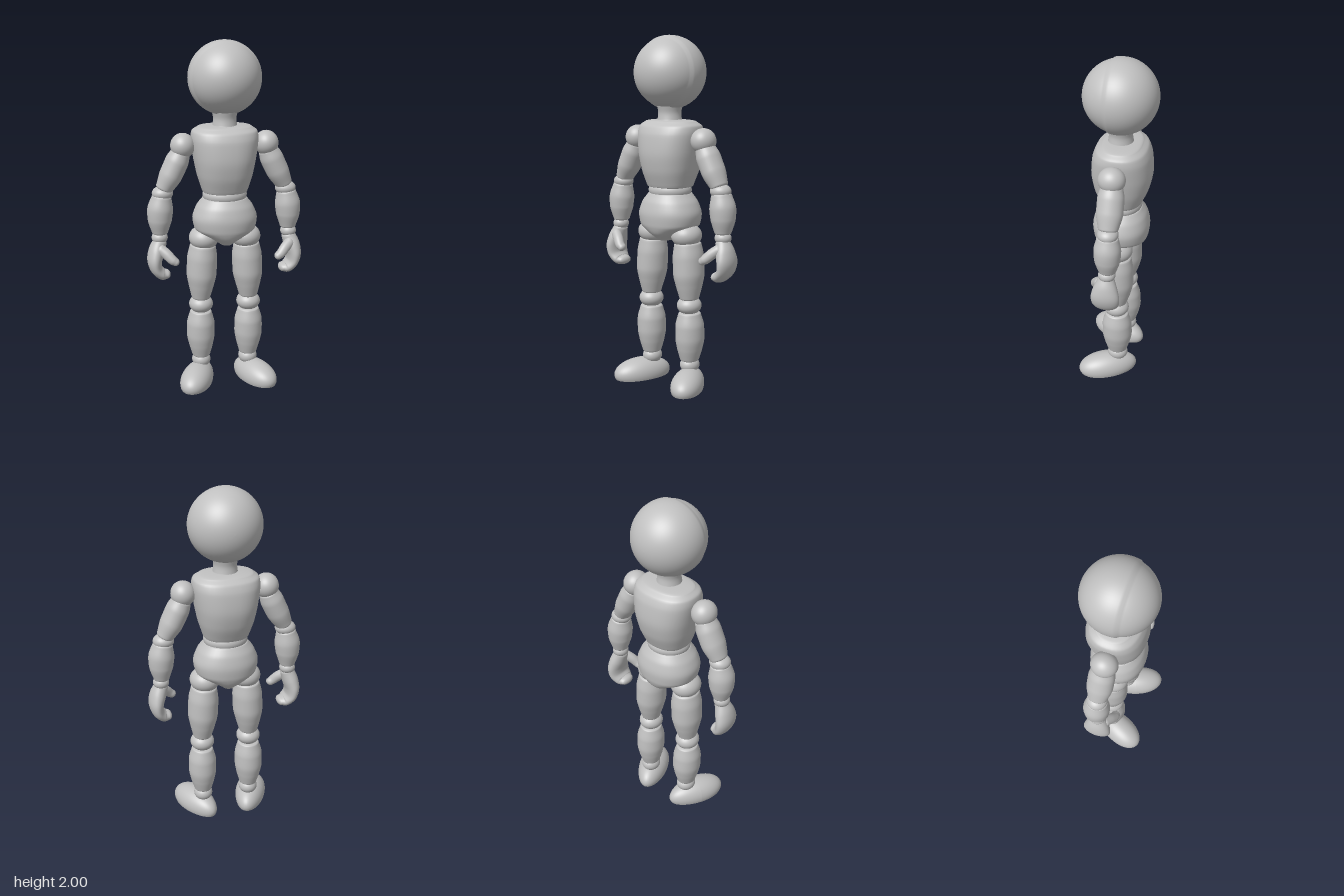
import * as THREE from 'three';
import { mergeGeometries } from 'three/addons/utils/BufferGeometryUtils.js';

const grey = new THREE.MeshStandardMaterial({ color: 0xc0c0c0 });
grey.name = 'light grey';

function add(group, name, geometry) {
  const mesh = new THREE.Mesh(geometry, grey);
  mesh.name = name;
  group.add(mesh);
  return mesh;
}

// Smooth body through rings [x, y, z, half width, half depth], rounded at both ends.
// side mirrors x, power squares off the section, cap is the depth of the rounded ends.
function loft(rings, { side = 1, power = 2, cap = 0.02 } = {}) {
  const mid = new THREE.CatmullRomCurve3(rings.map(r => new THREE.Vector3(side * r[0], r[1], r[2])));
  const size = new THREE.CatmullRomCurve3(rings.map(r => new THREE.Vector3(r[3], r[4], 0)));
  const steps = 28, around = 40, capSteps = 7;
  const sections = [];
  const section = (t, angle, sign) => {
    const tangent = mid.getTangent(t);
    const c = mid.getPoint(t).addScaledVector(tangent, sign * cap * Math.sin(angle));
    sections.push({ c, tangent, s: size.getPoint(t).multiplyScalar(Math.cos(angle)) });
  };
  for (let i = capSteps; i > 0; i--) section(0, (i / capSteps) * Math.PI / 2, -1);
  for (let i = 0; i <= steps; i++) section(i / steps, 0, 0);
  for (let i = 1; i <= capSteps; i++) section(1, (i / capSteps) * Math.PI / 2, 1);

  const bend = v => Math.sign(v) * Math.abs(v) ** (2 / power);
  const positions = [], index = [];
  sections.forEach(({ c, tangent, s }, i) => {
    const len = Math.hypot(tangent.x, tangent.y) || 1;
    for (let j = 0; j < around; j++) {
      const a = (j / around) * Math.PI * 2;
      const u = bend(Math.cos(a)) * s.x, v = bend(Math.sin(a)) * s.y;
      positions.push(c.x + u * tangent.y / len, c.y - u * tangent.x / len, c.z + v);
      if (i === sections.length - 1) continue;
      const p = i * around + j, q = i * around + (j + 1) % around;
      index.push(p, p + around, q, p + around, q + around, q);
    }
  });
  const g = new THREE.BufferGeometry();
  g.setAttribute('position', new THREE.Float32BufferAttribute(positions, 3));
  g.setIndex(index);
  g.computeVertexNormals();
  return g;
}

function ball(x, y, z, rx, ry = rx, rz = rx) {
  return new THREE.SphereGeometry(1, 40, 24).scale(rx, ry, rz).translate(x, y, z);
}

// Round head whose front is a slightly recessed face
function headGeometry() {
  const r = 0.205, profile = [];
  for (let i = 0; i <= 28; i++) {
    const a = -Math.PI / 2 + (i / 28) * (Math.PI / 2 + 0.22);
    profile.push(new THREE.Vector2(Math.max(0, r * Math.cos(a)), r * Math.sin(a)));
  }
  for (let i = 0; i <= 24; i++) {
    const a = 0.29 + (i / 24) * (Math.PI / 2 - 0.29);
    profile.push(new THREE.Vector2(Math.max(0, r * 0.972 * Math.cos(a)), r * Math.sin(a)));
  }
  return new THREE.LatheGeometry(profile, 64).rotateX(Math.PI / 2).translate(0, 1.795, 0);
}

// Domed shoe with a flat sole, wider at the toes
function footGeometry() {
  const end = Math.PI * 0.6, low = Math.cos(end);
  const dome = new THREE.SphereGeometry(1, 48, 24, 0, Math.PI * 2, 0, end);
  const sole = new THREE.CircleGeometry(Math.sin(end), 48).rotateX(Math.PI / 2).translate(0, low, 0);
  const g = mergeGeometries([dome, sole]);
  const p = g.attributes.position;
  for (let i = 0; i < p.count; i++) {
    const x = p.getX(i), y = p.getY(i), z = p.getZ(i);
    p.setXYZ(i, x * (0.09 + 0.01 * z), (y - low) / (1 - low) * 0.116, z * 0.178);
  }
  g.computeVertexNormals();
  return g;
}

export function createModel() {
  const model = new THREE.Group();
  model.name = 'jointedFigure';

  // Head and trunk
  add(model, 'head', headGeometry());
  add(model, 'neck', loft([
    [0, 1.5, 0, 0.085, 0.085], [0, 1.535, 0, 0.069, 0.069],
    [0, 1.57, 0, 0.065, 0.065], [0, 1.62, 0, 0.075, 0.075]]));
  add(model, 'chest', loft([
    [0, 1.16, -0.005, 0.128, 0.118], [0, 1.25, -0.008, 0.156, 0.153],
    [0, 1.35, -0.01, 0.176, 0.169], [0, 1.45, -0.01, 0.189, 0.16],
    [0, 1.5, -0.01, 0.184, 0.14], [0, 1.522, -0.01, 0.155, 0.11]], { power: 2.4, cap: 0.014 }));
  add(model, 'waist', ball(0, 1.135, -0.004, 0.127, 0.07, 0.118));
  add(model, 'pelvis', loft([
    [0, 0.86, -0.005, 0.045, 0.1], [0, 0.895, -0.005, 0.105, 0.137],
    [0, 0.94, -0.005, 0.174, 0.156], [0, 1.0, -0.005, 0.185, 0.161],
    [0, 1.07, -0.005, 0.162, 0.145], [0, 1.115, -0.005, 0.127, 0.118]], { power: 2.15, cap: 0.015 }));

  for (const side of [1, -1]) {
    const label = side > 0 ? 'left' : 'right';

    // Arm
    const arm = new THREE.Group();
    arm.name = label + 'Arm';
    model.add(arm);
    add(arm, 'shoulder', ball(side * 0.238, 1.424, 0, 0.069, 0.071, 0.075));
    add(arm, 'upperArm', loft([
      [0.25, 1.38, -0.003, 0.056, 0.062], [0.273, 1.33, -0.003, 0.066, 0.073],
      [0.306, 1.26, -0.003, 0.065, 0.073], [0.345, 1.185, -0.003, 0.049, 0.055]], { side }));
    add(arm, 'elbow', ball(side * 0.355, 1.157, -0.003, 0.06, 0.042, 0.058));
    add(arm, 'forearm', loft([
      [0.36, 1.135, -0.003, 0.056, 0.06], [0.37, 1.06, -0.003, 0.073, 0.075],
      [0.373, 1.0, -0.003, 0.068, 0.071], [0.373, 0.93, -0.003, 0.046, 0.05]], { side, cap: 0.015 }));
    add(arm, 'wrist', ball(side * 0.376, 0.9, 0, 0.046, 0.038, 0.048));

    // Curled mitten hand
    add(arm, 'hand', loft([
      [0.376, 0.875, 0.003, 0.04, 0.045], [0.396, 0.82, 0.005, 0.046, 0.068],
      [0.408, 0.765, 0.005, 0.042, 0.08], [0.398, 0.715, 0.005, 0.035, 0.076],
      [0.366, 0.683, 0.008, 0.032, 0.063], [0.343, 0.68, 0.008, 0.026, 0.048]], { side, cap: 0.024 }));
    add(arm, 'thumb', loft([
      [0.383, 0.845, 0.035, 0.03, 0.034], [0.345, 0.815, 0.06, 0.03, 0.032],
      [0.315, 0.785, 0.077, 0.027, 0.029], [0.298, 0.773, 0.08, 0.023, 0.026]], { side, cap: 0.021 }));

    // Leg
    const leg = new THREE.Group();
    leg.name = label + 'Leg';
    model.add(leg);
    add(leg, 'hip', ball(side * 0.122, 0.885, 0, 0.086, 0.07, 0.092));
    add(leg, 'thigh', loft([
      [0.128, 0.835, -0.004, 0.075, 0.082], [0.132, 0.76, -0.005, 0.087, 0.094],
      [0.136, 0.67, -0.005, 0.087, 0.095], [0.139, 0.59, -0.005, 0.072, 0.08],
      [0.141, 0.525, -0.004, 0.055, 0.06]], { side }));
    add(leg, 'knee', ball(side * 0.141, 0.48, -0.003, 0.07, 0.054, 0.073));
    add(leg, 'shin', loft([
      [0.142, 0.43, -0.005, 0.063, 0.068], [0.143, 0.36, -0.006, 0.081, 0.086],
      [0.143, 0.29, -0.008, 0.082, 0.088], [0.142, 0.22, -0.008, 0.07, 0.077],
      [0.141, 0.16, -0.008, 0.053, 0.059]], { side, cap: 0.015 }));
    add(leg, 'ankle', ball(side * 0.141, 0.125, -0.01, 0.055, 0.048, 0.06));
    const foot = add(leg, 'foot', footGeometry());
    foot.position.set(side * 0.173, 0, 0.046);
    foot.rotation.y = side * 0.42;
  }
  return model;
}
